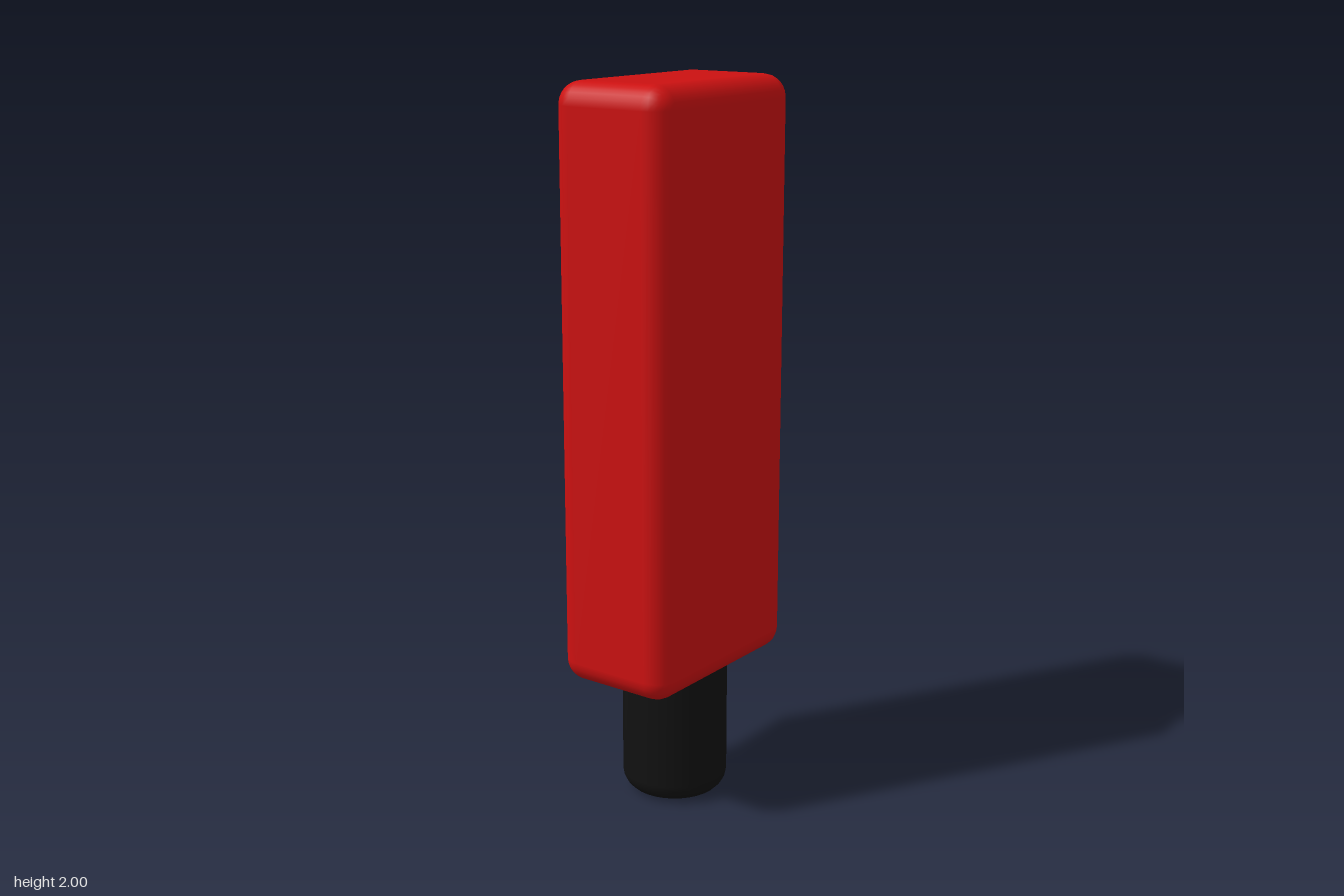
import * as THREE from 'three';
import { RoundedBoxGeometry } from 'three/addons/geometries/RoundedBoxGeometry.js';

export function createModel() {
  const group = new THREE.Group();

  // Tall red block with softly rounded edges
  const bottom = 0.375, top = 2;
  const block = new THREE.Mesh(
    new RoundedBoxGeometry(0.356, top - bottom, 0.592, 3, 0.062),
    new THREE.MeshStandardMaterial({ color: 0xcc1111 })
  );
  block.name = 'block';
  block.position.y = (top + bottom) / 2;
  group.add(block);

  // Round black handle: flat base, rounded lower rim, top sunk into the block
  const radius = 0.148, rim = 0.055, steps = 5;
  const profile = [new THREE.Vector2(0, 0)];
  for (let i = 0; i <= steps; i++) {
    const a = (i / steps) * Math.PI / 2;
    profile.push(new THREE.Vector2(radius - rim + rim * Math.sin(a), rim - rim * Math.cos(a)));
  }
  profile.push(new THREE.Vector2(radius, 0.42));
  const handle = new THREE.Mesh(
    new THREE.LatheGeometry(profile, 32),
    new THREE.MeshStandardMaterial({ color: 0x111111 })
  );
  handle.name = 'handle';
  group.add(handle);

  return group;
}
